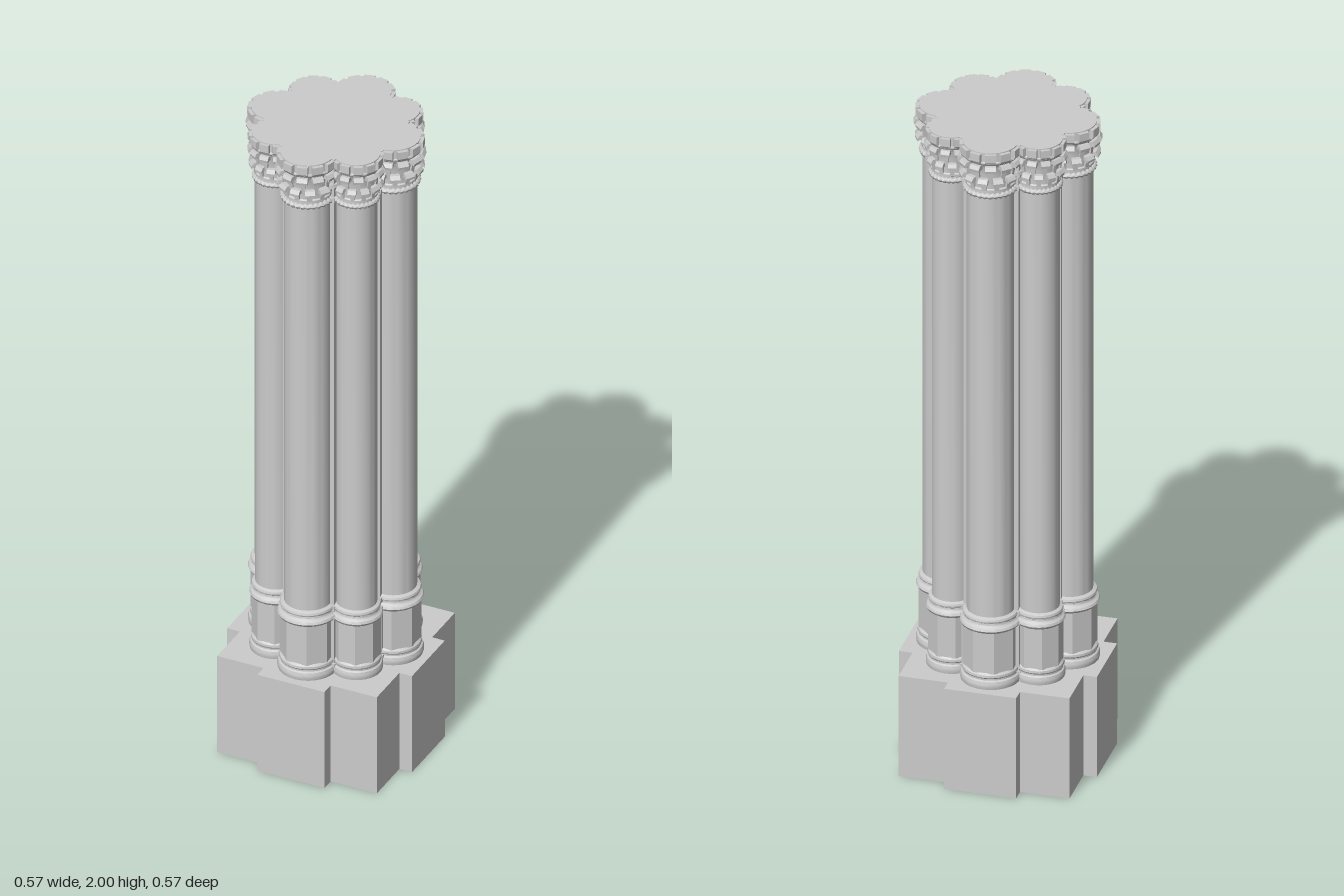
import * as THREE from 'three';
import { mergeGeometries, toCreasedNormals } from 'three/addons/utils/BufferGeometryUtils.js';

const material = new THREE.MeshStandardMaterial({ color: 0xcccccc });

function part(name, geometry) {
  const mesh = new THREE.Mesh(geometry, material);
  mesh.name = name;
  return mesh;
}

// Turned part from [radius, height] points, listed bottom to top
function turned(points, segments = 40) {
  const profile = points.map(([r, y]) => new THREE.Vector2(r, y));
  return toCreasedNormals(new THREE.LatheGeometry(profile, segments), 0.6);
}

// Flat-sided plate whose [radius, height] outline faces +x
function plate(outline, width) {
  const shape = new THREE.Shape(outline.map(([r, y]) => new THREE.Vector2(r, y)));
  return new THREE.ExtrudeGeometry(shape, { depth: width, bevelEnabled: false }).translate(0, 0, -width / 2);
}

// Repeats plates around the exposed side of a column
function ring(outline, width, degrees) {
  return degrees.map((d) => plate(outline, width).rotateY(THREE.MathUtils.degToRad(d)));
}

// Stepped plan: a centre square of half size s, with arms of half width w reaching a
function steppedPrism(s, w, a, y0, y1) {
  const quarter = [[a, -w], [a, w], [s, w], [s, s], [w, s]];
  const points = [];
  for (let i = 0; i < 4; i++) {
    for (const [x, y] of quarter) {
      const p = new THREE.Vector2(x, y).rotateAround(new THREE.Vector2(), i * Math.PI / 2);
      points.push(p);
    }
  }
  return new THREE.ExtrudeGeometry(new THREE.Shape(points), { depth: y1 - y0, bevelEnabled: false })
    .rotateX(-Math.PI / 2).translate(0, y0, 0);
}

// Twisted rope moulding
function rope(radius, thickness, y) {
  const geo = new THREE.TorusGeometry(radius, thickness, 8, 120);
  const pos = geo.attributes.position;
  for (let i = 0; i < pos.count; i++) {
    const x = pos.getX(i), z = pos.getY(i), h = pos.getZ(i);
    const a = Math.atan2(z, x);
    const out = Math.hypot(x, z) - radius;
    const swell = 1 + 0.25 * Math.cos(30 * a + h / thickness * 2);
    const r = radius + out * swell;
    pos.setXYZ(i, r * Math.cos(a), r * Math.sin(a), h * swell);
  }
  geo.computeVertexNormals();
  return geo.rotateX(Math.PI / 2).translate(0, y, 0);
}

function column() {
  const g = new THREE.Group();

  // Rounded foot moulding
  g.add(part('footMoulding', turned([
    [0.084, 0.314], [0.086, 0.322], [0.086, 0.33], [0.083, 0.338],
    [0.078, 0.341], [0.078, 0.346], [0.081, 0.35], [0.08, 0.357], [0.074, 0.362], [0, 0.362],
  ])));

  // Octagonal pedestal with one face outward
  const pedestal = new THREE.CylinderGeometry(0.079, 0.079, 0.135, 8).toNonIndexed();
  pedestal.computeVertexNormals();
  g.add(part('pedestal', pedestal.rotateY(Math.PI / 8).translate(0, 0.4275, 0)));

  // Ringed base of the shaft
  g.add(part('shaftBase', turned([
    [0, 0.488], [0.078, 0.488], [0.083, 0.491], [0.086, 0.497], [0.083, 0.504], [0.077, 0.507],
    [0.073, 0.511], [0.072, 0.516], [0.077, 0.519], [0.079, 0.524], [0.077, 0.53], [0.067, 0.534],
  ])));

  g.add(part('shaft', turned([[0.067, 0.53], [0.067, 1.862]])));
  g.add(part('ropeRing', rope(0.069, 0.008, 1.861)));

  // Capital bell with its flat top
  g.add(part('capitalBell', turned([
    [0.067, 1.85], [0.067, 1.872], [0.071, 1.874], [0.071, 1.88], [0.067, 1.883],
    [0.068, 1.92], [0.072, 1.95], [0.078, 1.963], [0.081, 1.966], [0.081, 1.97],
    [0.077, 1.972], [0.077, 2.0], [0, 2.0],
  ])));

  // Two tiers of leaves, each a narrow stem with a broad curled tip
  const odd = [-105, -75, -45, -15, 15, 45, 75, 105];
  const even = [-120, -90, -60, -30, 0, 30, 60, 90, 120];
  const lowerStem = [[0.062, 1.878], [0.071, 1.878], [0.074, 1.9], [0.082, 1.913], [0.07, 1.916], [0.062, 1.9]];
  const lowerTip = [[0.066, 1.905], [0.078, 1.905], [0.087, 1.9], [0.088, 1.907], [0.08, 1.917], [0.066, 1.917]];
  const upperStem = [[0.064, 1.9], [0.071, 1.9], [0.075, 1.935], [0.085, 1.952], [0.07, 1.957], [0.064, 1.93]];
  const upperTip = [[0.068, 1.946], [0.082, 1.946], [0.09, 1.942], [0.092, 1.95], [0.085, 1.96], [0.068, 1.96]];
  g.add(part('capitalLeaves', mergeGeometries([
    ...ring(lowerStem, 0.014, even), ...ring(lowerTip, 0.028, even),
    ...ring(upperStem, 0.013, odd), ...ring(upperTip, 0.031, odd),
  ])));

  // Crown of spaced blocks around the rim
  const block = [[0.07, 1.968], [0.083, 1.968], [0.087, 1.974], [0.087, 1.997], [0.07, 1.997]];
  g.add(part('crownBlocks', mergeGeometries(ring(block, 0.031, odd))));
  return g;
}

export function createModel() {
  const model = new THREE.Group();
  model.name = 'clusteredPier';

  model.add(part('plinth', steppedPrism(0.247, 0.104, 0.286, 0, 0.315)));

  // Central core, whose corners show between the columns
  const core = new THREE.Group();
  core.name = 'core';
  const levels = [
    [0.087, 0.187, 0.314, 0.345], [0.083, 0.181, 0.345, 0.49], [0.087, 0.186, 0.49, 0.505],
    [0.084, 0.181, 0.515, 0.53], [0.079, 0.175, 0.505, 1.855], [0.083, 0.18, 1.855, 1.868],
    [0.079, 0.175, 1.868, 1.905], [0.083, 0.181, 1.905, 1.95], [0.087, 0.186, 1.95, 2],
  ];
  for (const [w, a, y0, y1] of levels) core.add(part('coreCourse', steppedPrism(0.12, w, a, y0, y1)));
  model.add(core);

  // Eight engaged columns, the diagonal ones slimmer
  for (let i = 0; i < 8; i++) {
    const angle = i * Math.PI / 4;
    const c = column();
    const diagonal = i % 2 === 1;
    c.name = diagonal ? 'diagonalColumn' : 'mainColumn';
    c.position.set(0.177 * Math.cos(angle), 0, -0.177 * Math.sin(angle));
    c.rotation.y = angle;
    if (diagonal) c.scale.set(0.86, 1, 0.86);
    model.add(c);
  }
  return model;
}
